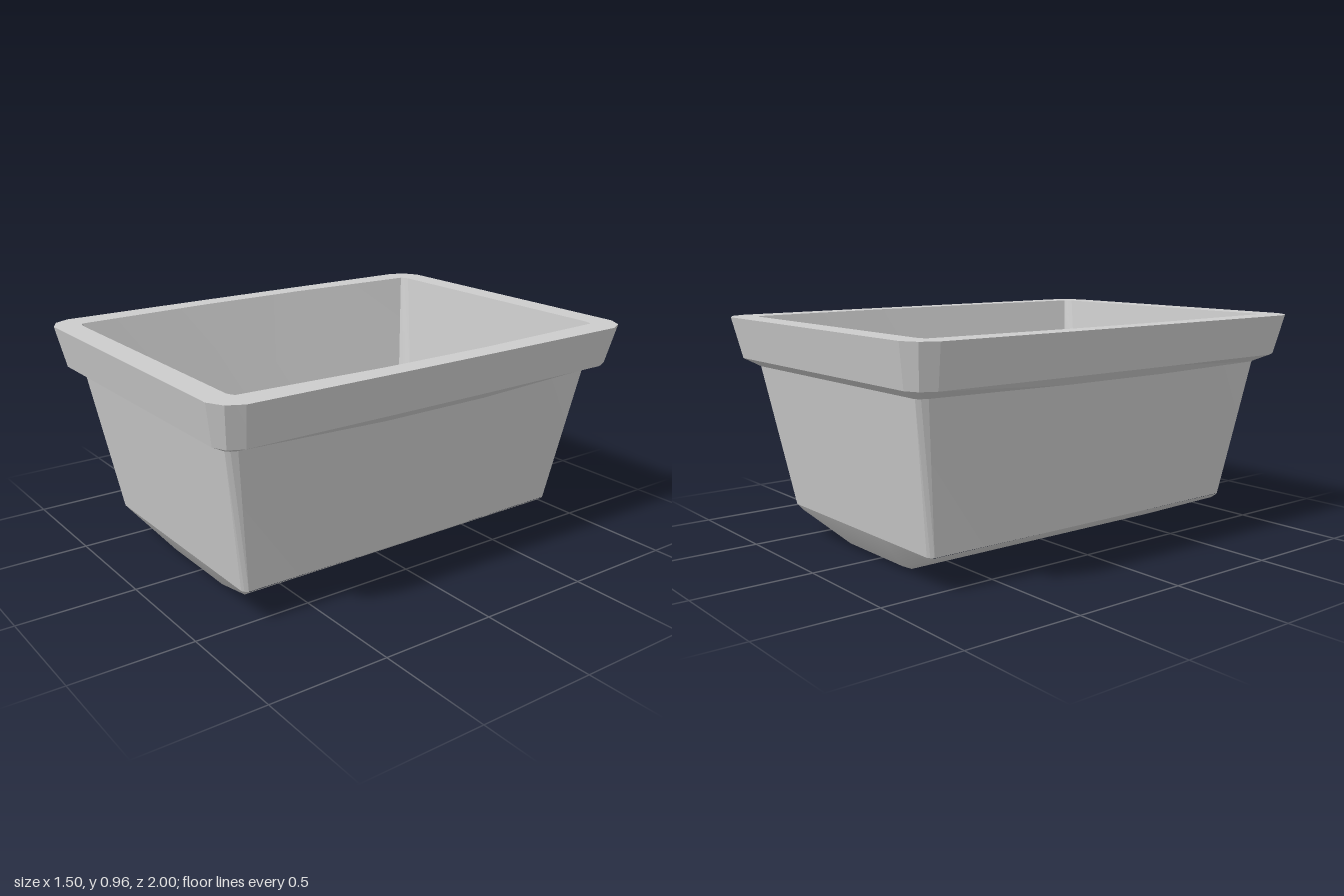
import * as THREE from 'three';
import { toCreasedNormals } from 'three/addons/utils/BufferGeometryUtils.js';

const material = new THREE.MeshStandardMaterial({ color: 0xcccccc });

function makeGeometry(points, index) {
  const geometry = new THREE.BufferGeometry();
  geometry.setAttribute('position', new THREE.Float32BufferAttribute(points.flat(), 3));
  geometry.setIndex(index);
  geometry.computeVertexNormals();
  return geometry;
}

// Full ring from one quarter outline of [x, z] points, running from the side to the front
function ring(y, quarter) {
  const place = (sx, sz) => quarter.map(([x, z]) => [sx * x, y, sz * z]);
  return [
    ...place(1, 1), ...place(-1, 1).reverse(),
    ...place(-1, -1), ...place(1, -1).reverse(),
  ];
}

// Skin between successive rings
function loft(rings) {
  const n = rings[0].length;
  const index = [];
  for (let r = 0; r < rings.length - 1; r++) {
    for (let i = 0; i < n; i++) {
      const a = r * n + i, b = r * n + (i + 1) % n;
      index.push(a, b, a + n, b, b + n, a + n);
    }
  }
  return toCreasedNormals(makeGeometry(rings.flat(), index), 0.25);
}

// Flat upward-facing cap
function cap(loop) {
  const n = loop.length;
  const index = [];
  for (let i = 0; i < n; i++) index.push(n, (i + 1) % n, i);
  return makeGeometry([...loop, [0, loop[0][1], 0]], index);
}

// Smooth boat-like underside: a grid of x columns and z rows
function undersideGeometry() {
  const columns = [[-0.525, 0.145], [-0.49, 0.12], [-0.2, 0], [0.2, 0], [0.49, 0.12], [0.525, 0.145]];
  const points = [];
  for (const row of [-3, -2, -1, 1, 2, 3]) {
    const side = Math.sign(row);
    for (const [x, y] of columns) {
      const corner = Math.abs(x) > 0.5;
      if (Math.abs(row) === 3) {
        points.push([corner ? Math.sign(x) * 0.512 : x, 0.145, side * (corner ? 0.793 : 0.8)]);
      } else if (Math.abs(row) === 2) {
        const h = Math.max(y, 0.02);
        points.push([x, h, side * Math.min(0.78, 0.8 - (0.145 - h) * 0.7)]);
      } else {
        points.push([x, y, side * 0.67]);
      }
    }
  }
  const n = columns.length;
  const index = [];
  for (let r = 0; r < 5; r++) {
    for (let c = 0; c < n - 1; c++) {
      const a = r * n + c;
      index.push(a, a + 1, a + n, a + 1, a + n + 1, a + n);
    }
  }
  return makeGeometry(points, index);
}

export function createModel() {
  const group = new THREE.Group();
  const add = (name, geometry) => {
    const mesh = new THREE.Mesh(geometry, material);
    mesh.name = name;
    group.add(mesh);
  };

  // Outlines from the inner floor, over the rim and down the outside
  const floor = ring(0.47, [[0.552, 0.25], [0.545, 0.8], [0.525, 0.82], [0.5, 0.838]]);
  const opening = ring(0.96, [[0.663, 0.25], [0.636, 0.875], [0.625, 0.885], [0.6, 0.893]]);
  const rimTop = ring(0.96, [[0.752, 0.25], [0.748, 0.9], [0.715, 0.965], [0.65, 0.995]]);
  const rimBottom = ring(0.787, [[0.708, 0.25], [0.703, 0.88], [0.675, 0.94], [0.62, 0.965]]);
  const neck = ring(0.75, [[0.66, 0.25], [0.615, 0.86], [0.605, 0.885], [0.59, 0.9]]);
  const base = ring(0.145, [[0.525, 0.25], [0.522, 0.78], [0.512, 0.793], [0.5, 0.8]]);

  // Square off the ends of the rim
  for (const p of rimTop) if (Math.abs(p[2]) > 0.99) p[2] = Math.sign(p[2]);

  add('innerFloor', cap(floor));
  add('innerWalls', loft([floor, opening]));
  add('rim', loft([opening, rimTop, rimBottom, neck]));
  add('outerWalls', loft([neck, base]));
  add('underside', undersideGeometry());
  return group;
}
